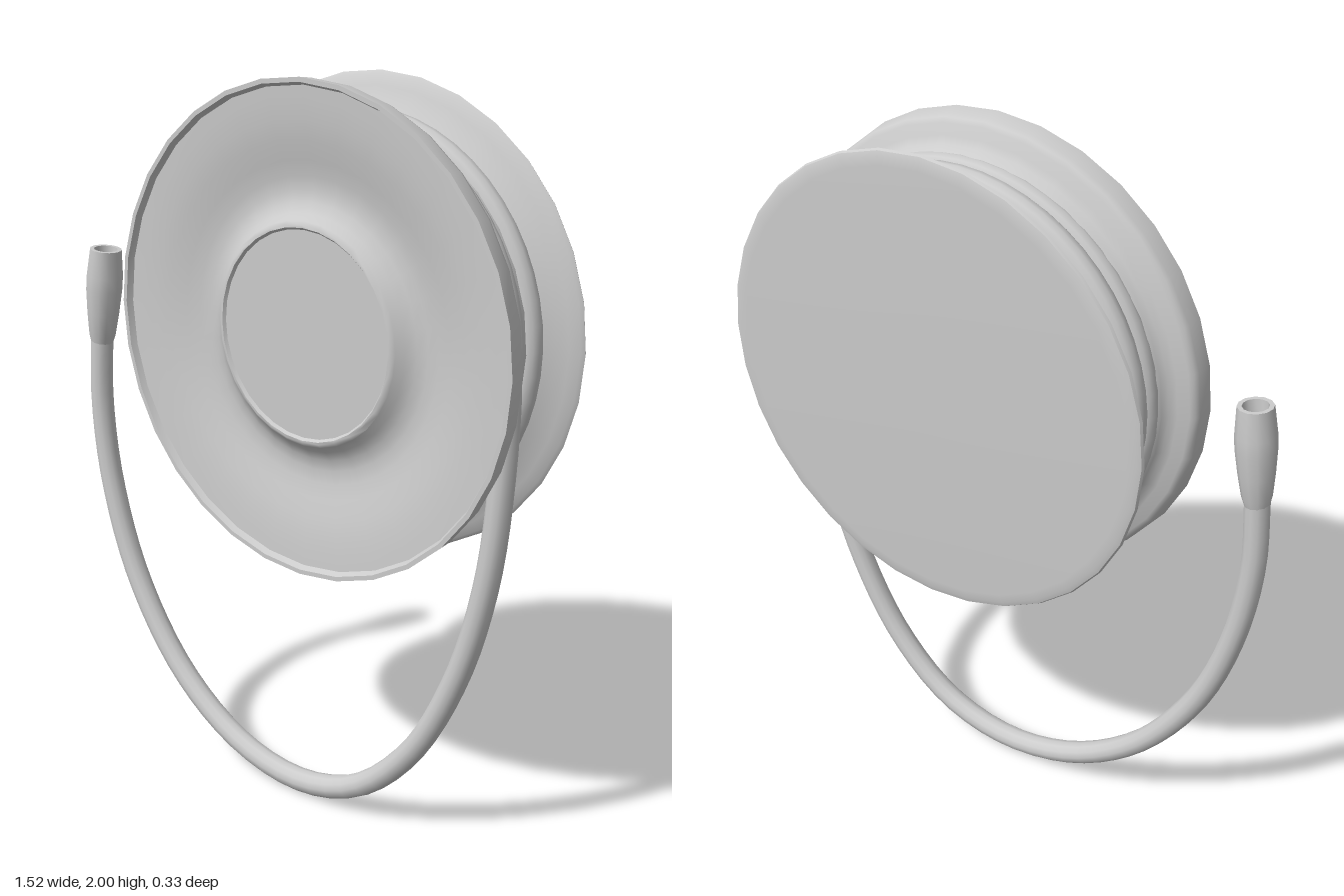
import * as THREE from 'three';
import { toCreasedNormals } from 'three/addons/utils/BufferGeometryUtils.js';

const CX = 0.115, CY = 1.355; // reel axis

function lathe(profile, segments, crease) {
  const pts = profile.map(([r, h]) => new THREE.Vector2(r, h));
  return toCreasedNormals(new THREE.LatheGeometry(pts, segments), crease);
}

export function createModel() {
  const group = new THREE.Group();
  const mat = new THREE.MeshStandardMaterial({ color: 0xcccccc, side: THREE.DoubleSide });
  const add = (name, geo) => {
    const mesh = new THREE.Mesh(geo, mat);
    mesh.name = name;
    group.add(mesh);
    return mesh;
  };

  // Reel: flat back, flared back flange, drum, skirted front flange,
  // then the front face with a shallow ring groove around a raised hub
  const reel = lathe([
    [0, -0.167], [0.60, -0.167], [0.624, -0.166], [0.637, -0.162], [0.641, -0.155],
    [0.632, -0.147], [0.605, -0.137], [0.578, -0.125], [0.556, -0.112], [0.537, -0.10],
    [0.535, 0.035], [0.552, 0.046], [0.562, 0.065], [0.573, 0.08],
    [0.592, 0.091], [0.622, 0.10], [0.634, 0.108], [0.64, 0.122], [0.645, 0.167],
    [0.633, 0.167], [0.625, 0.15], [0.59, 0.148], [0.54, 0.144],
    [0.49, 0.136], [0.44, 0.124], [0.40, 0.115], [0.365, 0.112],
    [0.335, 0.118], [0.31, 0.133], [0.293, 0.150], [0.283, 0.158],
    [0.277, 0.158], [0.271, 0.150], [0, 0.150],
  ], 32, 0.7);
  reel.rotateX(Math.PI / 2);
  add('reel', reel).position.set(CX, CY, 0);

  // Hose: hanging loop, then wound around the drum
  const path = [
    [-0.718, 1.22], [-0.727, 1.0], [-0.692, 0.75], [-0.595, 0.48],
    [-0.42, 0.235], [-0.2, 0.083], [0.03, 0.035], [0.24, 0.088],
    [0.425, 0.253], [0.565, 0.505], [0.648, 0.78], [0.684, 1.06],
  ].map(([x, y]) => new THREE.Vector3(x, y, 0.082));
  const turnZ = [0.078, 0.055, 0.047, 0.012, 0, 0, -0.01, -0.075, -0.085, -0.085, -0.085, -0.1]; // each quarter turn
  for (let a = 0; a <= 975; a += 15) {
    const i = Math.floor(a / 90);
    const z = THREE.MathUtils.lerp(turnZ[i], turnZ[i + 1], a / 90 - i);
    const r = 0.526 + 0.046 * Math.max(0, 1 - a / 90) ** 2 - Math.max(0, a - 900) * 0.0006;
    const t = THREE.MathUtils.degToRad(a);
    path.push(new THREE.Vector3(CX + r * Math.cos(t), CY + r * Math.sin(t), z));
  }
  add('hose', new THREE.TubeGeometry(new THREE.CatmullRomCurve3(path), 200, 0.033, 12));

  // Hollow fitting on the free end of the hose
  const fitting = add('hoseFitting', lathe([
    [0.031, -0.015], [0.039, 0.015], [0.047, 0.08], [0.053, 0.15], [0.053, 0.19],
    [0.046, 0.268], [0.034, 0.268], [0.03, 0.2], [0, 0.2],
  ], 12, 0.7));
  fitting.position.set(-0.718, 1.2, 0.082);
  fitting.rotation.z = -0.11;

  return group;
}
